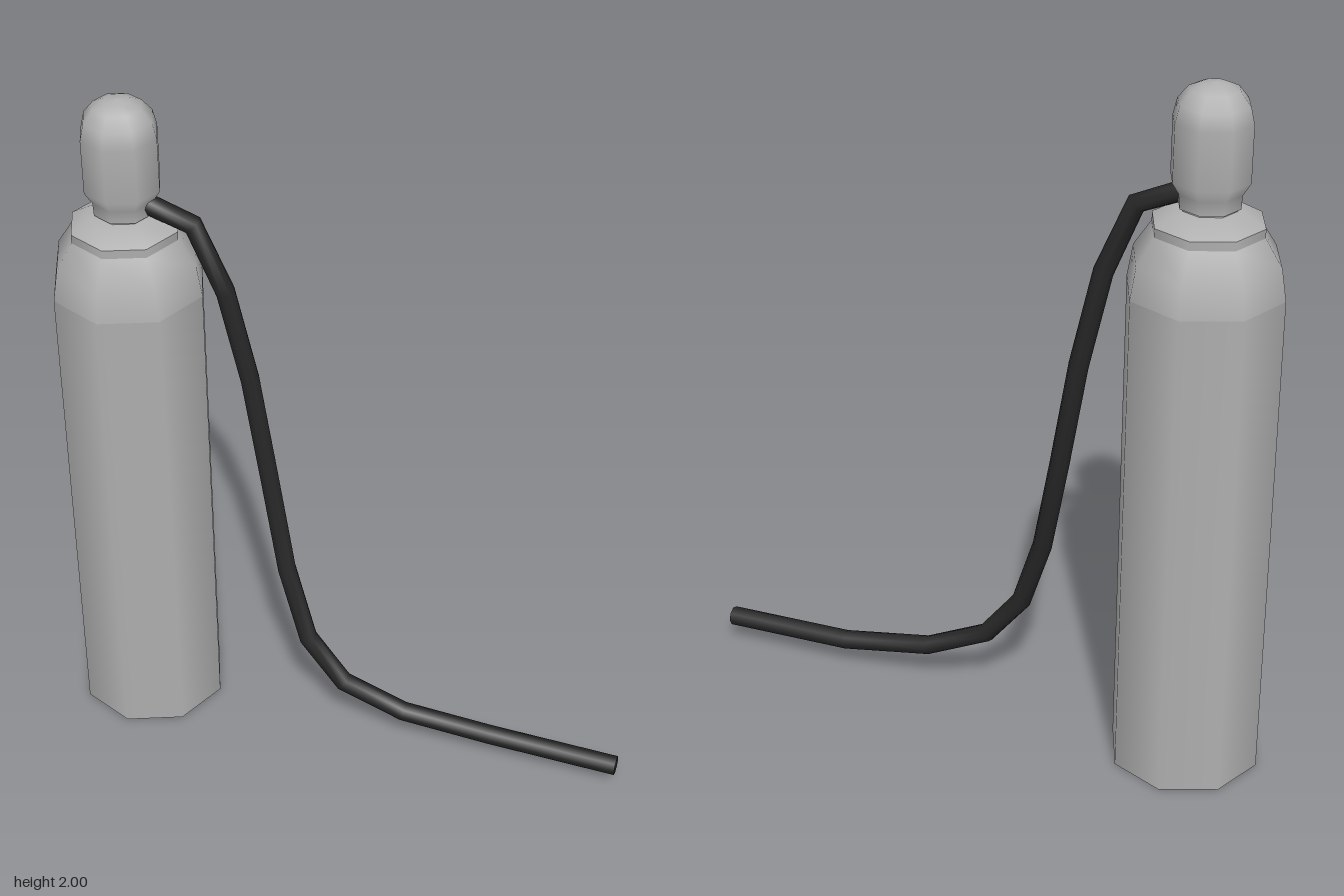
import * as THREE from 'three';

const SIDES = 8;
const TANK_X = -0.62;

export function createModel() {
  const model = new THREE.Group();
  model.name = 'gasCylinderWithHose';
  const steel = new THREE.MeshStandardMaterial({ name: 'greySteel', color: 0xb0b0b0 });
  const rubber = new THREE.MeshStandardMaterial({ name: 'blackRubber', color: 0x262626 });

  // Eight-sided turned parts, profiles as [radius, height] from bottom to top
  const tank = new THREE.Group();
  tank.name = 'tank';
  tank.position.x = TANK_X;
  model.add(tank);
  const turned = (name, profile) => {
    const points = profile.map(([r, y]) => new THREE.Vector2(r, y));
    const mesh = new THREE.Mesh(new THREE.LatheGeometry(points, SIDES), steel);
    mesh.name = name;
    tank.add(mesh);
  };
  turned('tankBase', [[0, 0], [0.215, 0]]);
  turned('tankWall', [[0.215, 0], [0.215, 1.44]]);
  turned('tankShoulder', [[0.215, 1.44], [0.2, 1.53], [0.152, 1.605]]);
  turned('collar', [[0.152, 1.605], [0.152, 1.63]]);
  turned('collarTop', [[0.152, 1.63], [0.09, 1.665], [0, 1.665]]);
  turned('neck', [[0.075, 1.655], [0.075, 1.68]]);
  turned('capUnderside', [[0, 1.672], [0.084, 1.672]]);
  turned('valveCap', [
    [0.084, 1.672], [0.086, 1.71], [0.107, 1.745], [0.107, 1.9],
    [0.096, 1.945], [0.068, 1.98], [0.035, 1.995], [0, 2],
  ]);

  // Hose with straight segments between bends
  const path = [
    [-0.55, 1.7, 0], [-0.43, 1.65, -0.015], [-0.35, 1.45, -0.027],
    [-0.29, 1.17, -0.035], [-0.235, 0.85, -0.022], [-0.175, 0.56, 0.012],
    [-0.1, 0.34, 0.043], [0.01, 0.2, 0.045], [0.19, 0.12, 0.028],
    [0.45, 0.086, 0.005], [0.83, 0.078, 0],
  ].map((p) => new THREE.Vector3(...p));
  const last = path.length - 1;
  const curve = new THREE.Curve();
  curve.getPoint = curve.getPointAt = (t) => path[Math.round(t * last)].clone();
  curve.getTangent = curve.getTangentAt = (t) => {
    const i = Math.round(t * last);
    const step = (a, b) => path[b].clone().sub(path[a]).normalize();
    const before = step(Math.max(i - 1, 0), Math.max(i, 1));
    const after = step(Math.min(i, last - 1), Math.min(i + 1, last));
    return before.add(after).normalize();
  };
  const hose = new THREE.Mesh(new THREE.TubeGeometry(curve, last, 0.028, SIDES), rubber);
  hose.name = 'hose';
  model.add(hose);

  // Closed hose ends
  for (const [name, t, sign] of [['hoseInlet', 0, -1], ['hoseOutlet', 1, 1]]) {
    const end = new THREE.Mesh(new THREE.CircleGeometry(0.028, SIDES), rubber);
    end.name = name;
    end.position.copy(curve.getPointAt(t));
    end.quaternion.setFromUnitVectors(
      new THREE.Vector3(0, 0, 1), curve.getTangentAt(t).multiplyScalar(sign));
    model.add(end);
  }
  return model;
}
